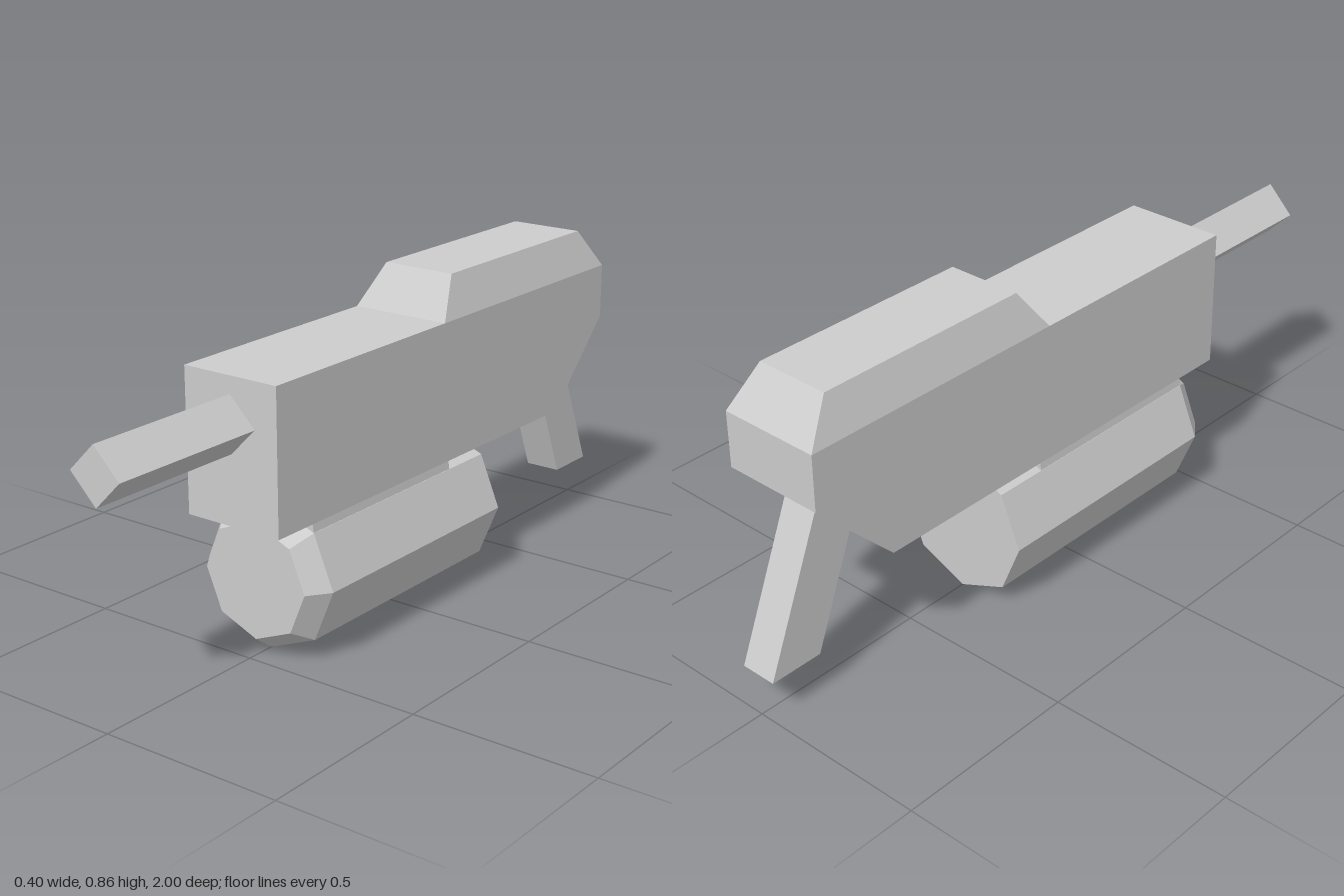
import * as THREE from 'three';

const gunmetal = new THREE.MeshStandardMaterial({ color: 0xcccccc, flatShading: true });
gunmetal.name = 'light grey';

// Side profile given as [z, y] points, extruded across x and centred
function sideExtrude(points, width) {
  const shape = new THREE.Shape(points.map(([z, y]) => new THREE.Vector2(z, y)));
  const geo = new THREE.ExtrudeGeometry(shape, { depth: width, bevelEnabled: false });
  return geo.translate(0, 0, -width / 2).rotateY(-Math.PI / 2);
}

// Box whose bottom and top are separate rectangles: { y, x (half width), back, front }
function taperedBox(bottom, top) {
  const geo = new THREE.BoxGeometry(2, 2, 2);
  const p = geo.attributes.position;
  for (let i = 0; i < p.count; i++) {
    const r = p.getY(i) > 0 ? top : bottom;
    p.setXYZ(i, p.getX(i) * r.x, r.y, p.getZ(i) > 0 ? r.front : r.back);
  }
  geo.computeVertexNormals();
  return geo;
}

export function createModel() {
  const model = new THREE.Group();
  model.name = 'blaster';
  const add = (name, geo) => {
    const mesh = new THREE.Mesh(geo, gunmetal);
    mesh.name = name;
    model.add(mesh);
  };

  // Main housing with a cut-away lower rear corner
  add('body', sideExtrude(
    [[0.55, 0.367], [0.55, 0.748], [-0.91, 0.748], [-0.91, 0.597], [-0.68, 0.367]], 0.284));

  // Raised cover with sloped sides
  add('topCover', taperedBox(
    { y: 0.748, x: 0.142, back: -0.91, front: -0.125 },
    { y: 0.857, x: 0.105, back: -0.83, front: -0.205 }));

  // Square barrel turned on its corner
  const barrel = new THREE.CylinderGeometry(0.075, 0.075, 0.47, 4);
  add('barrel', barrel.rotateX(Math.PI / 2).translate(0, 0.627, 0.765));

  // Eight-sided drum with a chamfered front
  const drumProfile = [[0, -0.305], [0.2, -0.305], [0.2, 0.417], [0.157, 0.475], [0, 0.475]]
    .map(([r, z]) => new THREE.Vector2(r, z));
  add('drum', new THREE.LatheGeometry(drumProfile, 8)
    .rotateX(Math.PI / 2).translate(0, 0.201, 0));

  // Thin mount between drum and body
  add('drumMount', taperedBox(
    { y: 0.343, x: 0.141, back: -0.155, front: 0.417 },
    { y: 0.37, x: 0.137, back: -0.155, front: 0.417 }));

  // Slanted rear grip
  add('grip', sideExtrude(
    [[-0.682, 0.54], [-0.85, 0.12], [-1.0, 0.12], [-0.827, 0.54]], 0.102));

  return model;
}
